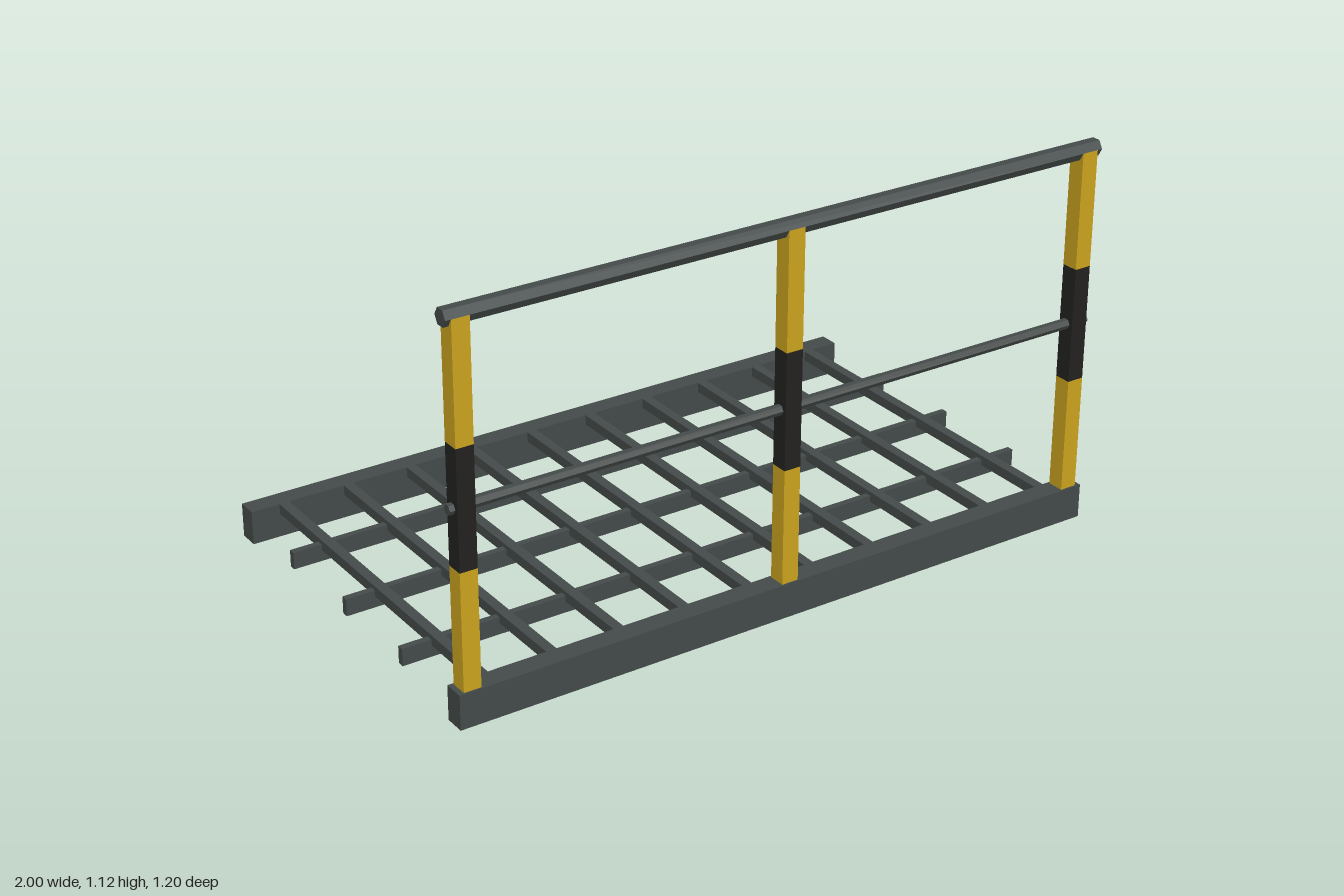
import * as THREE from 'three';

export function createModel() {
  const model = new THREE.Group();
  model.name = 'walkwaySection';

  const material = (name, color) => {
    const m = new THREE.MeshStandardMaterial({ color });
    m.name = name;
    return m;
  };
  const steel = material('dark steel', 0x434a49);
  const yellow = material('safety yellow', 0xc9a31f);
  const black = material('stripe black', 0x222120);
  const steelFlat = steel;

  const add = (name, geometry, mat, x, y, z, parent = model) => {
    const mesh = new THREE.Mesh(geometry, mat);
    mesh.name = name;
    mesh.position.set(x, y, z);
    parent.add(mesh);
    return mesh;
  };

  // Side beams along both long edges
  const beam = new THREE.BoxGeometry(2, 0.1, 0.06);
  add('frontBeam', beam, steel, 0, 0.05, 0.57);
  add('backBeam', beam, steel, 0, 0.05, -0.57);

  // Grating: cross bars flush with the beam tops
  const crossBar = new THREE.BoxGeometry(0.03, 0.03, 1.08);
  for (let i = 0; i < 10; i++) {
    add('crossBar', crossBar, steel, -0.9 + i * 0.2, 0.085, 0);
  }

  // Thin stringers running lengthwise under the cross bars
  const stringer = new THREE.BoxGeometry(2, 0.05, 0.02);
  for (const z of [-0.3, 0, 0.3]) add('stringer', stringer, steel, 0, 0.0625, z);

  // Guard posts, each in three equal bands
  const band = new THREE.BoxGeometry(0.05, 1 / 3, 0.05);
  for (const x of [-0.96, 0, 0.96]) {
    const post = new THREE.Group();
    post.name = 'guardPost';
    post.position.set(x, 0.1, 0.57);
    model.add(post);
    [yellow, black, yellow].forEach((mat, i) => {
      add(i === 1 ? 'postStripe' : 'postBand', band, mat, 0, (i + 0.5) / 3, 0, post);
    });
  }

  // Six-sided rails, faceted, lying along x with corners to front and back
  const rail = (name, radius, y) => {
    const geometry = new THREE.CylinderGeometry(radius, radius, 2, 6)
      .rotateZ(Math.PI / 2)
      .toNonIndexed();
    geometry.computeVertexNormals();
    add(name, geometry, steelFlat, 0, y, 0.57);
  };
  rail('handRail', 0.025, 1.1);
  rail('midRail', 0.015, 0.6);

  return model;
}
